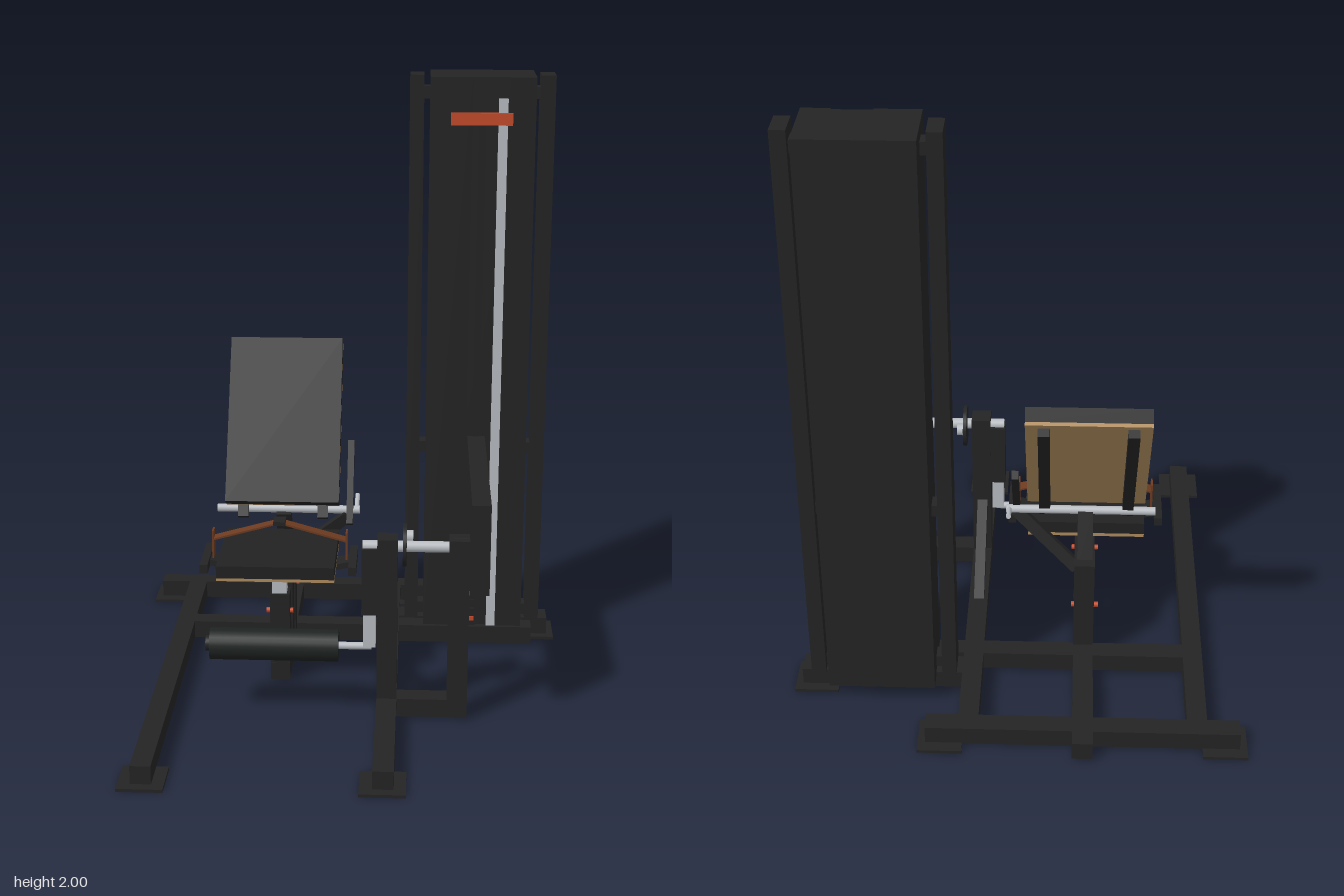
import * as THREE from 'three';

const mat = (name, color) => {
  const m = new THREE.MeshStandardMaterial({ color });
  m.name = name;
  return m;
};

export function createModel() {
  const frame = mat('frame black', 0x242424);
  const vinyl = mat('pad black', 0x222222);
  const foam = mat('roller foam', 0x1e2321);
  const steel = mat('bare steel', 0xb9bdc2);
  const wood = mat('plywood', 0xb08c5e);
  const leather = mat('brown strap', 0x6e3b20);
  const orange = mat('orange', 0xc44a2a);

  const model = new THREE.Group();
  model.name = 'legExtensionMachine';

  const add = (name, geo, m, parent = model) => {
    const mesh = new THREE.Mesh(geo, m);
    mesh.name = name;
    parent.add(mesh);
    return mesh;
  };
  // Box given by its extents
  const box = (name, m, x0, x1, y0, y1, z0, z1, parent) => {
    const mesh = add(name, new THREE.BoxGeometry(x1 - x0, y1 - y0, z1 - z0), m, parent);
    mesh.position.set((x0 + x1) / 2, (y0 + y1) / 2, (z0 + z1) / 2);
    return mesh;
  };
  // Straight member between two points; round, or rectangular if d is given
  const beam = (name, m, a, b, w, d) => {
    const p = new THREE.Vector3(...a), q = new THREE.Vector3(...b);
    const len = p.distanceTo(q);
    const geo = d ? new THREE.BoxGeometry(w, len, d) : new THREE.CylinderGeometry(w, w, len, 24);
    const mesh = add(name, geo, m);
    mesh.position.copy(p).add(q).multiplyScalar(0.5);
    mesh.quaternion.setFromUnitVectors(new THREE.Vector3(0, 1, 0), q.sub(p).normalize());
    return mesh;
  };

  // Floor frame
  const H = 0.07;
  box('leftRail', frame, -0.612, -0.548, 0.008, H, -0.73, 0.75);
  box('rightRail', frame, 0.117, 0.182, 0.008, H, -0.73, 0.75);
  box('rearCrossbar', frame, -0.715, 0.285, 0.008, H, -0.733, -0.667);
  box('middleCrossbar', frame, -0.55, 0.65, 0.008, H, -0.37, -0.305);
  box('centreRail', frame, -0.248, -0.182, 0.008, H, -0.79, 0.02);
  box('towerBase', frame, 0.18, 0.71, 0.008, H, -0.468, -0.388);
  for (const [x, z] of [[-0.668, -0.7], [0.238, -0.7], [-0.58, 0.71], [0.148, 0.71]])
    box('footPlate', frame, x - 0.071, x + 0.071, 0, 0.01, z - 0.071, z + 0.071);
  box('towerFootPlate', frame, 0.59, 0.734, 0, 0.01, -0.5, -0.36);

  // Weight tower: housing with a column on each side
  box('towerHousing', frame, 0.267, 0.612, 0.06, 2, -0.535, -0.325);
  box('frontPanelLeft', frame, 0.267, 0.405, 0.06, 2, -0.325, -0.317);
  box('frontPanelRight', frame, 0.525, 0.612, 0.06, 2, -0.325, -0.317);
  for (const [x0, x1, g0, g1] of [[0.2, 0.247, 0.247, 0.267], [0.63, 0.678, 0.612, 0.63]]) {
    box('towerColumn', frame, x0, x1, 0.06, 2, -0.475, -0.375);
    for (const y of [1.94, 0.71, 0.1])
      box('columnBracket', frame, g0, g1, y - 0.02, y + 0.02, -0.45, -0.4);
  }
  box('guideRod', steel, 0.49, 0.521, 0.07, 1.93, -0.325, -0.314);
  box('cableStrip', frame, 0.428, 0.45, 0.07, 1.88, -0.325, -0.316);
  box('topBar', orange, 0.335, 0.537, 1.845, 1.885, -0.322, -0.306);
  for (let i = 0; i < 12; i++)
    box('stackMark', i % 3 ? frame : orange, 0.431, 0.447, 0.09 + i * 0.032, 0.105 + i * 0.032, -0.316, -0.311);

  // Guard plate and the posts that carry the pivot
  box('guardPlate', frame, 0.41, 0.47, 0.48, 0.777, -0.32, 0.37);
  box('innerPost', frame, 0.117, 0.182, H, 0.62, 0.205, 0.272);
  box('outerPost', frame, 0.345, 0.41, H, 0.62, 0.205, 0.272);
  box('postFootBar', frame, 0.18, 0.41, 0.008, H, 0.205, 0.272);
  beam('postBrace', frame, [0.148, 0.275, 0.22], [0.148, 0.05, -0.08], 0.035, 0.035);

  // Pivot shaft, cam disc and leg lever
  beam('pivotShaft', steel, [0.07, 0.588, 0.238], [0.4, 0.588, 0.238], 0.018);
  beam('pivotHub', frame, [0.36, 0.588, 0.238], [0.412, 0.588, 0.238], 0.034);
  beam('camDisc', frame, [0.198, 0.588, 0.225], [0.21, 0.588, 0.225], 0.07);
  beam('camPin', steel, [0.21, 0.6, 0.18], [0.23, 0.6, 0.18], 0.02);
  box('legLever', frame, 0.067, 0.117, 0.36, 0.585, 0.208, 0.268);
  box('leverSlide', steel, 0.073, 0.113, 0.245, 0.37, 0.215, 0.261);
  beam('rollerAxle', steel, [-0.02, 0.24, 0.238], [0.1, 0.24, 0.238], 0.012);
  beam('rollerPad', foam, [-0.423, 0.24, 0.238], [-0.007, 0.24, 0.238], 0.052);
  beam('rollerCap', frame, [-0.438, 0.24, 0.238], [-0.42, 0.24, 0.238], 0.025);

  // Seat supports
  box('seatPost', frame, -0.248, -0.182, H, 0.32, -0.045, 0.018);
  box('seatTube', steel, -0.241, -0.192, 0.31, 0.415, -0.036, 0.012);
  box('seatBracket', frame, -0.31, -0.12, 0.405, 0.427, -0.1, 0.07);
  box('middlePost', frame, -0.248, -0.182, H, 0.4, -0.185, -0.118);
  box('rearPost', frame, -0.248, -0.182, H, 0.4, -0.315, -0.25);
  box('postBridge', frame, -0.248, -0.182, 0.335, 0.4, -0.25, -0.185);
  box('slideBlock', steel, -0.241, -0.19, 0.337, 0.4, -0.118, -0.068);
  beam('backSupport', frame, [-0.215, 0.36, -0.275], [-0.215, 0.54, -0.195], 0.05, 0.04);
  for (const [y, z] of [[0.25, -0.012], [0.232, -0.3]])
    beam('adjustKnob', orange, [-0.262, y, z], [-0.172, y, z], 0.009);
  beam('sideBrace', frame, [-0.19, 0.355, -0.26], [0.005, 0.525, -0.19], 0.04, 0.025);

  // Seat pad on its board, with side grips
  box('seatPad', vinyl, -0.41, -0.025, 0.436, 0.478, -0.18, 0.165);
  box('seatBoard', wood, -0.41, -0.025, 0.424, 0.436, -0.18, 0.16);
  for (const s of [-1, 1]) {
    const x = -0.215 + s * 0.245;
    box('sideGrip', frame, x - 0.013, x + 0.013, 0.42, 0.45, -0.11, 0.09);
    beam('gripArm', frame, [x, 0.432, -0.02], [-0.215 + s * 0.17, 0.415, -0.02], 0.02, 0.07);
    // Lap strap rising from each grip to the buckle
    beam('strapDrop', leather, [-0.215 + s * 0.223, 0.44, -0.02], [-0.215 + s * 0.223, 0.535, -0.02], 0.006, 0.04);
    beam('lapStrap', leather, [-0.215 + s * 0.223, 0.505, -0.02], [-0.215, 0.567, -0.02], 0.006, 0.04);
  }
  box('buckle', frame, -0.235, -0.195, 0.56, 0.574, -0.045, 0.008);

  // Reclined backrest: origin at the lower front edge of the pad
  const back = new THREE.Group();
  back.name = 'backrest';
  back.position.set(-0.217, 0.595, -0.13);
  back.rotation.x = -0.545;
  model.add(back);
  box('backPad', vinyl, -0.193, 0.193, 0, 0.579, -0.05, 0, back);
  box('backBoard', wood, -0.193, 0.193, 0, 0.579, -0.062, -0.05, back);
  for (const x of [-0.136, 0.136])
    box('backBar', frame, x - 0.018, x + 0.018, -0.04, 0.56, -0.09, -0.062, back);

  // Backrest hinge tube and adjusting handle
  beam('hingeTube', steel, [-0.443, 0.545, -0.2], [0.045, 0.545, -0.2], 0.014);
  beam('adjustHandle', frame, [0.012, 0.51, -0.15], [0.012, 0.755, -0.31], 0.022, 0.03);
  beam('releaseLever', steel, [0.035, 0.545, -0.195], [0.035, 0.57, -0.28], 0.008);

  return model;
}
